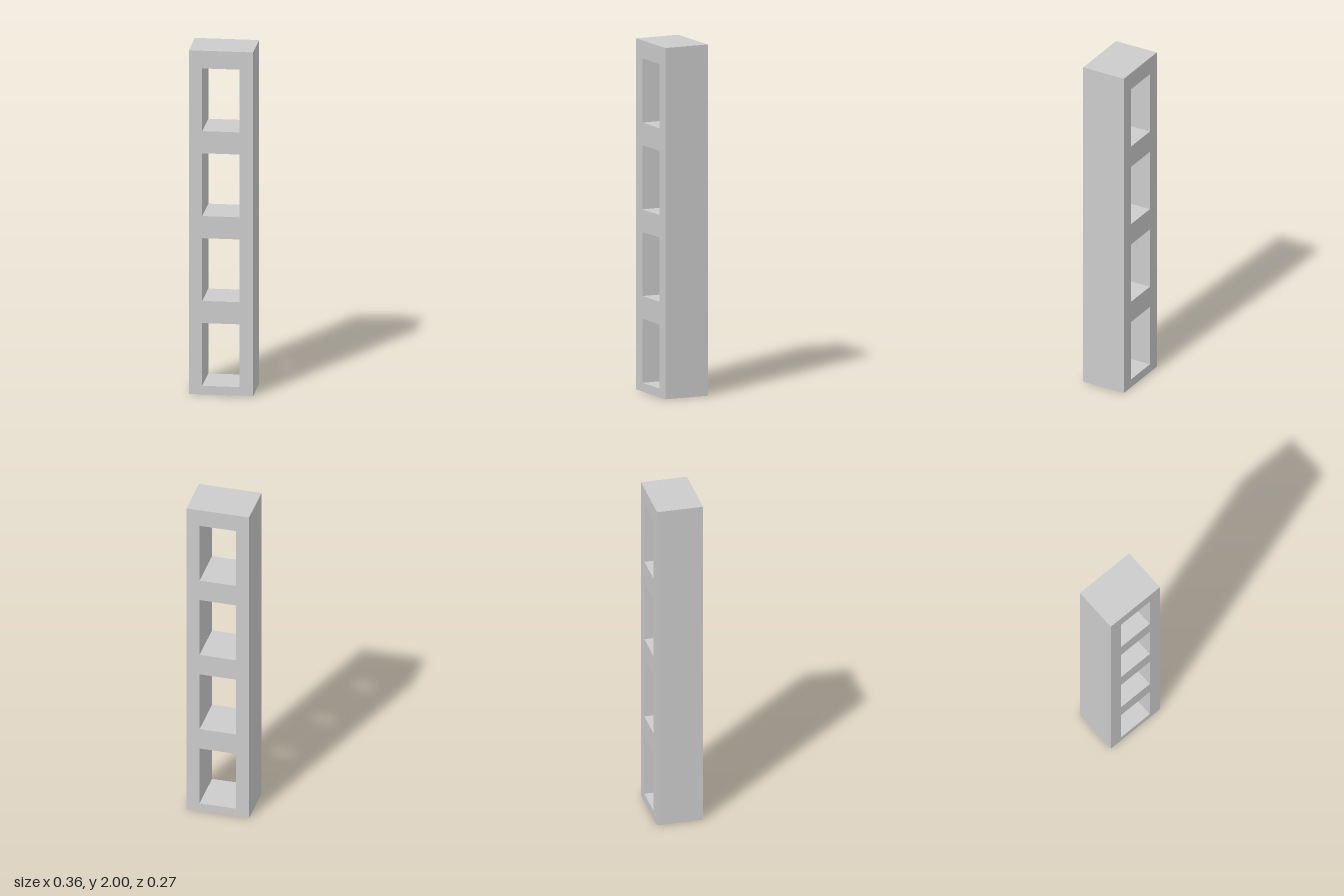
import * as THREE from 'three';

const WIDTH = 0.364, HEIGHT = 2, DEPTH = 0.266;
const HOLE = { count: 4, width: 0.212, height: 0.365, bottom: 0.05, pitch: 0.494 };

// Traces a rectangle centred on x = 0, standing on y
function rectangle(path, width, y, height) {
  const h = width / 2;
  path.moveTo(-h, y);
  path.lineTo(h, y);
  path.lineTo(h, y + height);
  path.lineTo(-h, y + height);
  path.closePath();
  return path;
}

export function createModel() {
  const group = new THREE.Group();
  group.name = 'openingColumn';

  // Upright block with a stack of openings running front to back
  const outline = rectangle(new THREE.Shape(), WIDTH, 0, HEIGHT);
  for (let i = 0; i < HOLE.count; i++) {
    outline.holes.push(rectangle(new THREE.Path(), HOLE.width, HOLE.bottom + i * HOLE.pitch, HOLE.height));
  }
  const geometry = new THREE.ExtrudeGeometry(outline, { depth: DEPTH, bevelEnabled: false });
  geometry.translate(0, 0, -DEPTH / 2);

  const frame = new THREE.Mesh(geometry, new THREE.MeshStandardMaterial({ color: 0xcccccc, flatShading: true }));
  frame.name = 'frame';
  group.add(frame);
  return group;
}
